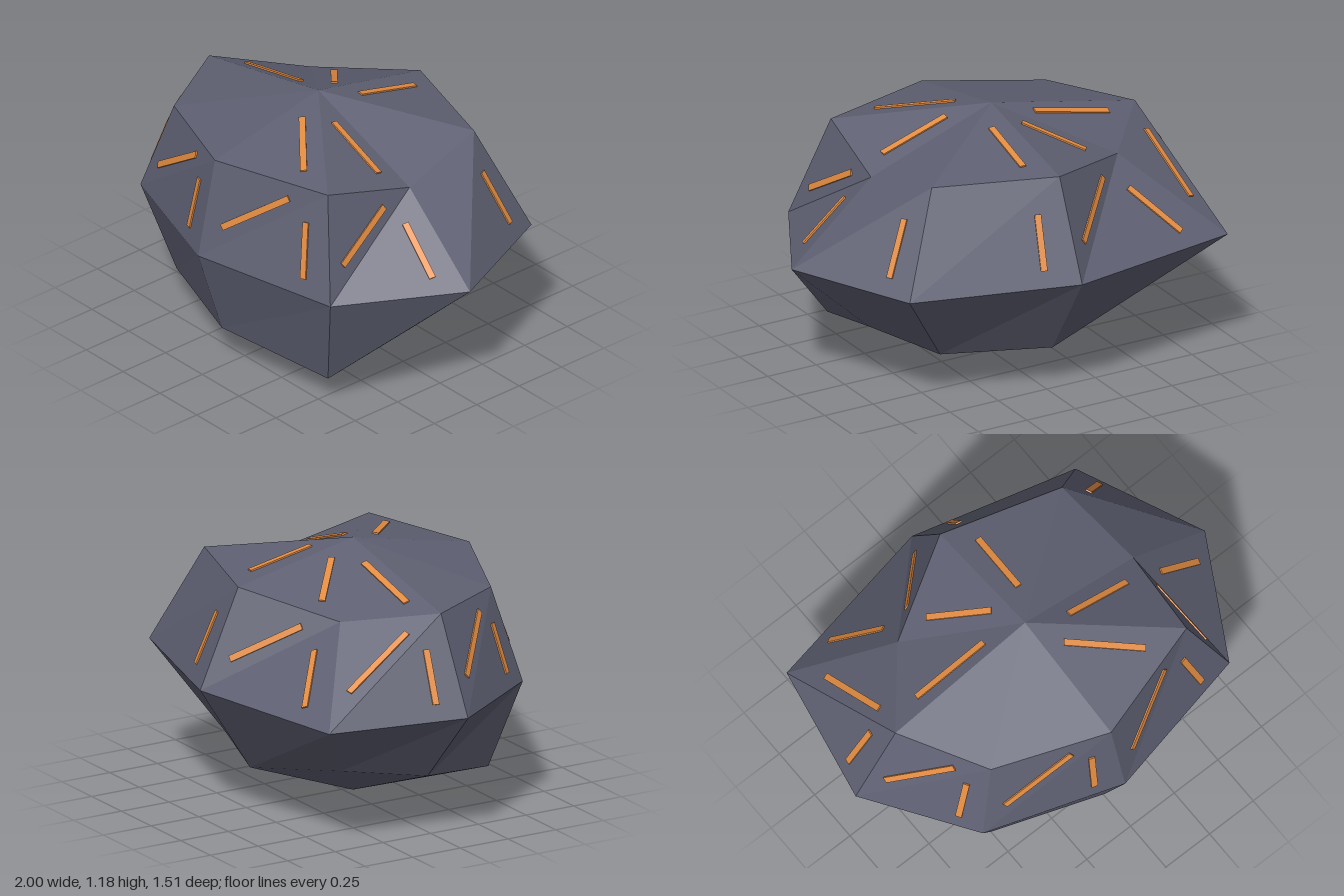
import * as THREE from 'three';

const SEGMENTS = 8;
const CENTRE = new THREE.Vector3(-0.03, 0.6, 0.04);
const SCALE = new THREE.Vector3(1, 0.577, 0.77);

// Radius factors around each ring, starting at +x and turning towards +z
const UPPER = [0.877, 1.14, 1.12, 1.04, 1.05, 0.9, 1.105, 1.12];
const EQUATOR = [1.03, 1.02, 0.92, 0.905, 0.97, 1.19, 1.04, 1.085];
const LOWER = [0.895, 1.165, 1.045, 1.02, 0.89, 0.84, 0.99, 0.965];

// Faces that carry a vein, by segment
const CAP_VEINS = [0, 1, 4, 5, 6];
const SHOULDER_VEINS = [0, 1, 2, 3, 4, 5];

function point(latitude, angle, radius) {
  return new THREE.Vector3(
    Math.cos(latitude) * Math.cos(angle),
    Math.sin(latitude),
    Math.cos(latitude) * Math.sin(angle)
  ).multiplyScalar(radius).multiply(SCALE).add(CENTRE);
}

function ring(latitude, radii) {
  return radii.map((r, j) => point(latitude, (j / SEGMENTS) * Math.PI * 2, r));
}

// Point on a triangle from its corner weights
function onFace([p, q, r], a, b, c) {
  return new THREE.Vector3().addScaledVector(p, a).addScaledVector(q, b).addScaledVector(r, c);
}

// Thin strip lying on a face, running beside its first edge
function makeVein(face, material) {
  const start = onFace(face, 0.68, 0.15, 0.17);
  const end = onFace(face, 0.16, 0.64, 0.2);
  const [p, q, r] = face;
  const normal = r.clone().sub(p).cross(q.clone().sub(p)).normalize();
  const along = end.clone().sub(start);
  const length = along.length();
  along.normalize();
  const across = along.clone().cross(normal);
  const vein = new THREE.Mesh(new THREE.BoxGeometry(length, 0.03, 0.008), material);
  vein.quaternion.setFromRotationMatrix(
    new THREE.Matrix4().makeBasis(along, across.negate(), normal)
  );
  vein.position.copy(start).add(end).multiplyScalar(0.5).addScaledVector(normal, 0.003);
  vein.name = 'vein';
  return vein;
}

export function createModel() {
  const rockMaterial = new THREE.MeshStandardMaterial({ color: 0x5e6072, flatShading: true });
  rockMaterial.name = 'slate grey';
  const veinMaterial = new THREE.MeshStandardMaterial({ color: 0xe38c42 });
  veinMaterial.name = 'orange';

  const top = point(Math.PI / 2, 0, 1.01);
  const bottom = point(-Math.PI / 2, 0, 1.04);
  const upper = ring(Math.PI / 4, UPPER);
  const equator = ring(0, EQUATOR);
  const lower = ring(-Math.PI / 4, LOWER);

  const faces = [];
  const veined = [];
  for (let j = 0; j < SEGMENTS; j++) {
    const k = (j + 1) % SEGMENTS;
    const cap = [top, upper[j], upper[k]];
    const shoulder = [upper[j], equator[k], upper[k]];
    const flank = [upper[j], equator[j], equator[k]];
    faces.push(
      cap, shoulder, flank,
      [equator[j], lower[k], equator[k]],
      [equator[j], lower[j], lower[k]],
      [lower[j], bottom, lower[k]]
    );
    if (CAP_VEINS.includes(j)) veined.push(cap);
    if (SHOULDER_VEINS.includes(j)) veined.push(shoulder);
    veined.push(flank);
  }

  // Faceted boulder
  const geometry = new THREE.BufferGeometry().setFromPoints(
    faces.flatMap(([p, q, r]) => [p, r, q])
  );
  geometry.computeVertexNormals();
  const rock = new THREE.Mesh(geometry, rockMaterial);
  rock.name = 'boulder';

  // Ore veins on the upper half
  const veins = new THREE.Group();
  veins.name = 'oreVeins';
  for (const face of veined) veins.add(makeVein(face, veinMaterial));

  const model = new THREE.Group();
  model.name = 'oreBoulder';
  model.add(rock, veins);
  return model;
}
